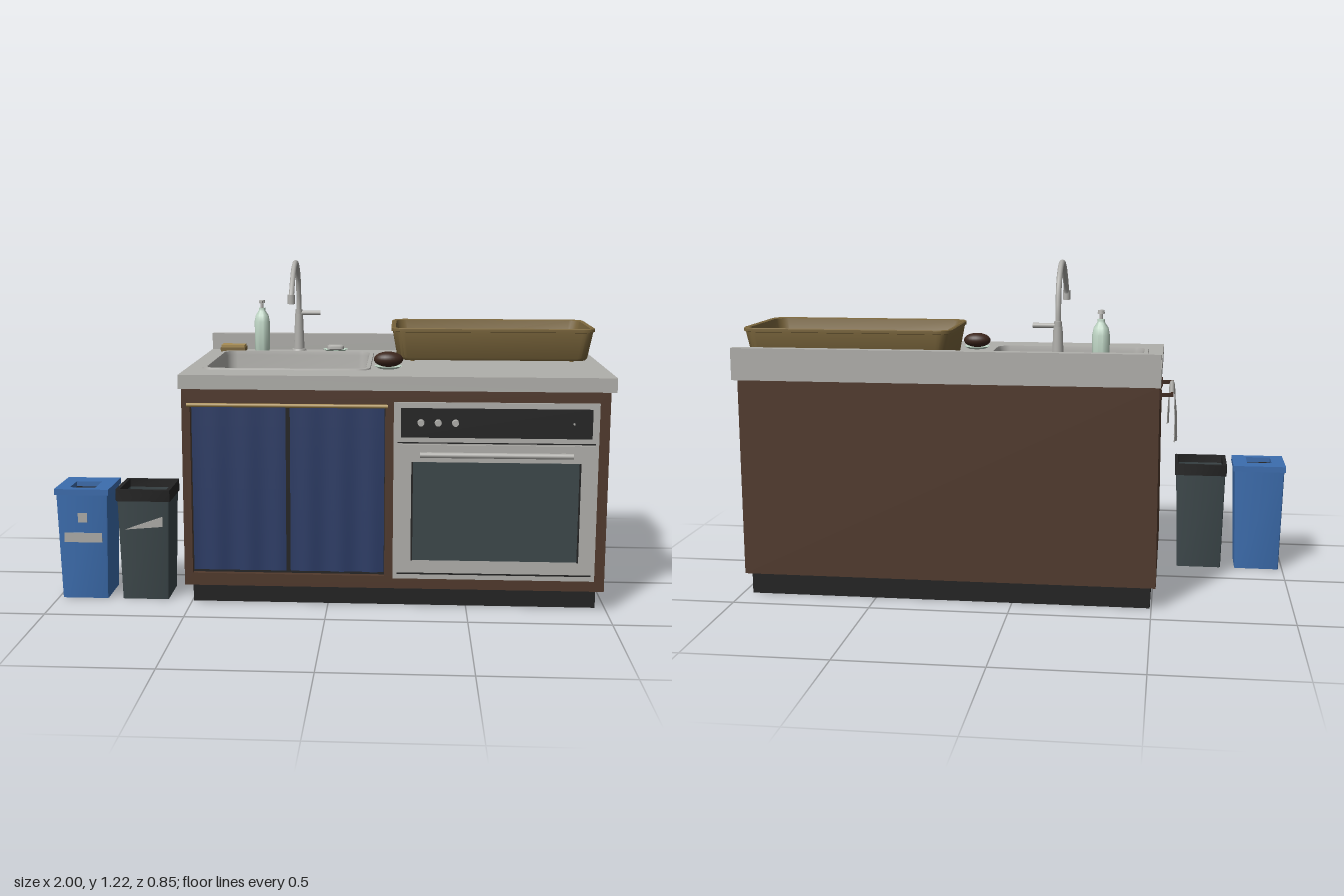
import * as THREE from 'three';
import { toCreasedNormals } from 'three/addons/utils/BufferGeometryUtils.js';

const mat = (name, color, side = THREE.FrontSide) => {
  const m = new THREE.MeshStandardMaterial({ color, side });
  m.name = name;
  return m;
};

export function createModel() {
  const root = new THREE.Group();
  root.name = 'kitchenIsland';
  const steel = mat('steelGrey', 0xb0afab, THREE.DoubleSide);
  const brown = mat('woodBrown', 0x50392c);
  const navy = mat('curtainNavy', 0x2c3c66, THREE.DoubleSide);
  const black = mat('black', 0x232323);
  const slate = mat('slate', 0x3c474a);
  const blue = mat('binBlue', 0x3c6dae);
  const gold = mat('ochre', 0x7b663c);
  const brass = mat('brass', 0xa88d54);
  const mint = mat('mint', 0xc2d9c8);
  const bunBrown = mat('darkBrown', 0x3c261c);

  const add = (name, geo, m, x = 0, y = 0, z = 0) => {
    const mesh = new THREE.Mesh(geo, m);
    mesh.name = name;
    mesh.position.set(x, y, z);
    root.add(mesh);
    return mesh;
  };
  // box given by its extents
  const box = (name, m, x0, x1, y0, y1, z0, z1) =>
    add(name, new THREE.BoxGeometry(x1 - x0, y1 - y0, z1 - z0), m, (x0 + x1) / 2, (y0 + y1) / 2, (z0 + z1) / 2);
  const cyl = (name, m, r0, r1, h, x, y, z, seg = 20) =>
    add(name, new THREE.CylinderGeometry(r1, r0, h, seg), m, x, y, z);
  const tube = (name, m, pts, r, seg = 40) =>
    add(name, new THREE.TubeGeometry(new THREE.CatmullRomCurve3(pts.map(p => new THREE.Vector3(...p))), seg, r, 10), m);

  // skin over rounded rectangles [y, width, depth, radius]; up = outer wall, down = inner wall
  const loft = (rings, n = 5) => {
    const pos = [], idx = [], count = 4 * (n + 1);
    for (const [y, w, d, r] of rings)
      for (let c = 0; c < 4; c++)
        for (let i = 0; i <= n; i++) {
          const a = (c + i / n) * Math.PI / 2;
          const sx = c === 0 || c === 3 ? 1 : -1, sz = c < 2 ? -1 : 1;
          pos.push(sx * (w / 2 - r) + r * Math.cos(a), y, sz * (d / 2 - r) - r * Math.sin(a));
        }
    for (let k = 0; k < rings.length - 1; k++)
      for (let j = 0; j < count; j++) {
        const a = k * count + j, b = k * count + (j + 1) % count;
        idx.push(a, b, b + count, a, b + count, a + count);
      }
    const g = new THREE.BufferGeometry();
    g.setAttribute('position', new THREE.Float32BufferAttribute(pos, 3));
    g.setIndex(idx);
    return toCreasedNormals(g, 0.6);
  };
  const dot = y => [y, 0.002, 0.002, 0.0005];

  // flat panel with rectangular holes, each rectangle [x0, x1, y0, y1]
  const rectPath = (P, [x0, x1, y0, y1]) => {
    const p = new P();
    p.moveTo(x0, y0); p.lineTo(x1, y0); p.lineTo(x1, y1); p.lineTo(x0, y1); p.closePath();
    return p;
  };
  const panel = (outer, holes, depth) => {
    const s = rectPath(THREE.Shape, outer);
    s.holes = holes.map(h => rectPath(THREE.Path, h));
    return new THREE.ExtrudeGeometry(s, { depth, bevelEnabled: false });
  };

  // cabinet shell
  box('plinth', black, -0.495, 0.965, 0, 0.085, -0.385, 0.315);
  box('cabinetFloor', brown, -0.5, 0.95, 0.08, 0.1, -0.39, 0.36);
  box('cabinetBack', brown, -0.515, 0.985, 0.08, 0.8, -0.405, -0.385);
  box('cabinetLeftSide', brown, -0.515, -0.495, 0.08, 0.8, -0.385, 0.36);
  add('cabinetRightSide', panel([-0.36, 0.385, 0.08, 0.8], [[-0.359, 0.04, 0.135, 0.615]], 0.04).rotateY(Math.PI / 2), brown, 0.945);
  add('cabinetFront', panel([-0.515, 0.985, 0.08, 0.8], [[-0.485, 0.205, 0.125, 0.745], [0.245, 0.94, 0.125, 0.75]], 0.02), brown, 0, 0, 0.358);

  // worktop and splashback
  add('worktop', panel([-0.52, 1, -0.41, 0.425], [[-0.45, 0.134, -0.25, 0.286]], 0.05).rotateX(-Math.PI / 2), steel, 0, 0.8);
  box('splashback', steel, -0.52, 1, 0.85, 0.915, -0.425, -0.388);

  // sink
  const sx = -0.158, sz = -0.018;
  add('sinkBasin', loft([[0.845, 0.615, 0.565, 0.05], [0.855, 0.61, 0.56, 0.05], [0.855, 0.58, 0.53, 0.045],
    [0.84, 0.57, 0.525, 0.04], [0.63, 0.562, 0.518, 0.04], [0.61, 0.55, 0.505, 0.035], dot(0.61)]), steel, sx, 0, sz);
  add('sinkFloor', loft([[0.61, 0.56, 0.515, 0.03], [0.618, 0.56, 0.515, 0.03], dot(0.618)]), black, sx, 0, sz);
  add('drainRing', new THREE.TorusGeometry(0.033, 0.005, 8, 28).rotateX(Math.PI / 2), brass, -0.16, 0.621, -0.012);
  cyl('drainPlug', gold, 0.018, 0.018, 0.006, -0.16, 0.621, -0.012);
  box('overflowPlate', brass, -0.185, -0.135, 0.745, 0.77, -0.282, -0.274);
  box('overflowSlot', black, -0.175, -0.145, 0.752, 0.763, -0.276, -0.272);

  // faucet
  cyl('faucetFoot', steel, 0.03, 0.027, 0.008, -0.16, 0.854, -0.36);
  cyl('faucetColumn', steel, 0.022, 0.016, 0.15, -0.16, 0.925, -0.36);
  cyl('faucetCollar', steel, 0.014, 0.014, 0.025, -0.16, 1.005, -0.36);
  tube('faucetSpout', steel, [[-0.16, 0.98, -0.357], [-0.16, 1.07, -0.352], [-0.16, 1.15, -0.325], [-0.16, 1.2, -0.265],
    [-0.16, 1.212, -0.2], [-0.16, 1.195, -0.14], [-0.16, 1.15, -0.08], [-0.16, 1.1, -0.035], [-0.16, 1.075, -0.026]], 0.01, 60);
  cyl('faucetNozzle', steel, 0.014, 0.014, 0.035, -0.16, 1.082, -0.026);
  cyl('faucetLever', steel, 0.009, 0.009, 0.085, -0.115, 1.003, -0.36).rotation.z = Math.PI / 2;

  // soap bottle
  const lathe = pts => toCreasedNormals(new THREE.LatheGeometry(pts.map(p => new THREE.Vector2(...p)), 24), 0.7);
  add('soapBottle', lathe([[0, 0], [0.028, 0], [0.03, 0.006], [0.031, 0.12], [0.026, 0.145], [0.013, 0.165], [0.013, 0.175], [0, 0.175]]), mint, -0.308, 0.85, -0.335);
  cyl('pumpStem', steel, 0.006, 0.006, 0.03, -0.308, 1.035, -0.335);
  cyl('pumpHead', steel, 0.013, 0.011, 0.012, -0.308, 1.05, -0.335);
  box('pumpSpout', steel, -0.313, -0.303, 1.046, 1.054, -0.335, -0.29);

  // small things on the worktop
  box('spongeBase', gold, -0.475, -0.375, 0.85, 0.866, -0.372, -0.306);
  box('spongeTop', brass, -0.472, -0.378, 0.866, 0.876, -0.369, -0.309);
  const dish = [[0, 0], [0.035, 0], [0.05, 0.009], [0.047, 0.01], [0.033, 0.005], [0, 0.005]];
  add('soapDish', lathe(dish), mint, -0.01, 0.85, -0.34);
  add('soapBar', loft([[0, 0.06, 0.036, 0.012], [0.006, 0.068, 0.044, 0.015], [0.016, 0.066, 0.042, 0.015], [0.021, 0.05, 0.03, 0.012], dot(0.021)]), steel, -0.01, 0.855, -0.34);
  add('scrubberDish', lathe(dish), mint, 0.212, 0.85, 0.187);
  add('scrubber', new THREE.SphereGeometry(1, 24, 16).scale(0.053, 0.028, 0.035), bunBrown, 0.212, 0.883, 0.187);

  // draining tray
  const tray = [0.6, 0, -0.168];
  add('drainingTray', loft([dot(0.858), [0.858, 0.7, 0.34, 0.04], [0.868, 0.715, 0.352, 0.04], [0.965, 0.75, 0.385, 0.045],
    [0.967, 0.762, 0.396, 0.05], [0.978, 0.762, 0.396, 0.05], [0.981, 0.752, 0.388, 0.045], [0.978, 0.728, 0.362, 0.04],
    [0.885, 0.695, 0.335, 0.035], [0.874, 0.675, 0.315, 0.03], dot(0.874)]), gold, ...tray);
  for (const s of [-1, 1]) {
    box('trayRidge', gold, 0.275, 0.925, 0.873, 0.882, tray[2] + s * 0.082 - 0.006, tray[2] + s * 0.082 + 0.006);
    for (const t of [-1, 1]) cyl('trayFoot', gold, 0.008, 0.008, 0.01, 0.6 + s * 0.3, 0.855, tray[2] + t * 0.13, 10);
  }

  // curtains on a brass rail
  box('curtainBacking', black, -0.49, 0.21, 0.12, 0.75, 0.345, 0.352);
  for (const [i, x] of [-0.313, 0.036].entries()) {
    const g = new THREE.PlaneGeometry(0.334, 0.6, 48, 8), p = g.attributes.position;
    for (let k = 0; k < p.count; k++)
      p.setZ(k, 0.004 * Math.sin(p.getX(k) * 55 + i) * (0.6 - p.getY(k)));
    g.computeVertexNormals();
    add('curtain', g, navy, x, 0.438, 0.375);
  }
  cyl('curtainRail', brass, 0.007, 0.007, 0.71, -0.14, 0.741, 0.389, 10).rotation.z = Math.PI / 2;

  // oven
  box('ovenBody', steel, 0.25, 0.945, 0.13, 0.748, -0.3, 0.378);
  add('ovenFrame', panel([0.235, 0.948, 0.12, 0.757], [[0.262, 0.922, 0.635, 0.735]], 0.012), steel, 0, 0, 0.376);
  box('controlPanel', black, 0.26, 0.924, 0.633, 0.737, 0.376, 0.391);
  for (const x of [0.33, 0.39, 0.45])
    cyl('ovenKnob', steel, 0.013, 0.011, 0.018, x, 0.686, 0.397).rotation.x = Math.PI / 2;
  cyl('ovenLight', steel, 0.004, 0.004, 0.006, 0.86, 0.686, 0.392, 8).rotation.x = Math.PI / 2;
  box('ovenGap', black, 0.248, 0.936, 0.612, 0.616, 0.38, 0.389);
  box('ovenDoor', steel, 0.25, 0.934, 0.145, 0.608, 0.38, 0.396);
  box('doorFoot', black, 0.25, 0.934, 0.138, 0.145, 0.38, 0.392);
  box('windowSurround', slate, 0.298, 0.888, 0.192, 0.547, 0.39, 0.398);
  for (const x of [0.3, 0.884]) box('windowTrim', black, x - 0.002, x + 0.004, 0.19, 0.547, 0.392, 0.399);
  cyl('ovenHandle', steel, 0.01, 0.01, 0.53, 0.593, 0.576, 0.416, 12).rotation.z = Math.PI / 2;
  for (const x of [0.36, 0.826]) box('handlePost', steel, x - 0.008, x + 0.008, 0.569, 0.583, 0.394, 0.415);

  // towel on a side rail
  tube('towelRail', bunBrown, [[-0.557, 0.768, -0.375], [-0.557, 0.768, -0.22], [-0.557, 0.768, -0.065]], 0.006);
  for (const z of [-0.37, -0.07]) {
    box('towelBracket', bunBrown, -0.563, -0.515, 0.762, 0.774, z - 0.006, z + 0.006);
    box('towelBracketPlate', bunBrown, -0.523, -0.515, 0.752, 0.784, z - 0.012, z + 0.012);
  }
  const profile = new THREE.CatmullRomCurve3([[-0.545, 0.66], [-0.547, 0.73], [-0.549, 0.77], [-0.557, 0.777], [-0.565, 0.77],
    [-0.568, 0.72], [-0.573, 0.65], [-0.573, 0.595]].map(([x, y]) => new THREE.Vector3(x, y, 0)));
  const towel = new THREE.PlaneGeometry(1, 1, 28, 30), tp = towel.attributes.position;
  for (let k = 0; k < tp.count; k++) {
    const u = tp.getX(k), q = profile.getPoint(0.5 - tp.getY(k)), drop = 0.777 - q.y;
    tp.setXYZ(k, q.x + 0.035 * drop * Math.sin(u * 24), q.y, -0.218 + u * (0.27 - 0.15 * drop));
  }
  towel.computeVertexNormals();
  add('towel', towel, steel);

  // recycling bin with a lid
  const bz = 0.222;
  add('recyclingBin', loft([dot(0), [0, 0.17, 0.17, 0.006], [0.392, 0.19, 0.19, 0.006], dot(0.392)], 2), blue, -0.9, 0, bz);
  add('recyclingLid', panel([-0.1, 0.1, -0.102, 0.102], [[-0.05, 0.045, -0.068, 0.032]], 0.022).rotateX(-Math.PI / 2), blue, -0.9, 0.393, bz);
  box('lidOpening', black, -0.951, -0.854, 0.391, 0.396, 0.189, 0.291);
  // front labels follow the taper of the bins
  const label = (name, pts, m, x, y, z) => {
    const s = new THREE.Shape(pts.map(p => new THREE.Vector2(...p)));
    add(name, new THREE.ExtrudeGeometry(s, { depth: 0.005, bevelEnabled: false }), m, x, y, z).rotation.x = 0.025;
  };
  const rect = (w, h) => [[-w, -h], [w, -h], [w, h], [-w, h]];
  label('binLabelSmall', rect(0.017, 0.018), steel, -0.9, 0.307, bz + 0.09);
  label('binLabelWide', rect(0.07, 0.018), steel, -0.9, 0.232, bz + 0.088);

  // open waste bin
  add('wasteBin', loft([dot(0), [0, 0.17, 0.17, 0.006], [0.375, 0.19, 0.188, 0.006], [0.405, 0.19, 0.188, 0.006],
    [0.405, 0.174, 0.172, 0.006], [0.012, 0.156, 0.156, 0.006], dot(0.012)], 2), slate, -0.675, 0, bz);
  add('wasteBinRim', loft([[0.372, 0.18, 0.178, 0.006], [0.372, 0.2, 0.197, 0.006], [0.415, 0.2, 0.197, 0.006],
    [0.415, 0.172, 0.17, 0.006], [0.385, 0.172, 0.17, 0.006]], 2), black, -0.675, 0, bz);
  label('wasteBinLabel', [[-0.07, -0.022], [0.07, -0.01], [0.07, 0.028]], steel, -0.675, 0.287, bz + 0.089);

  return root;
}
